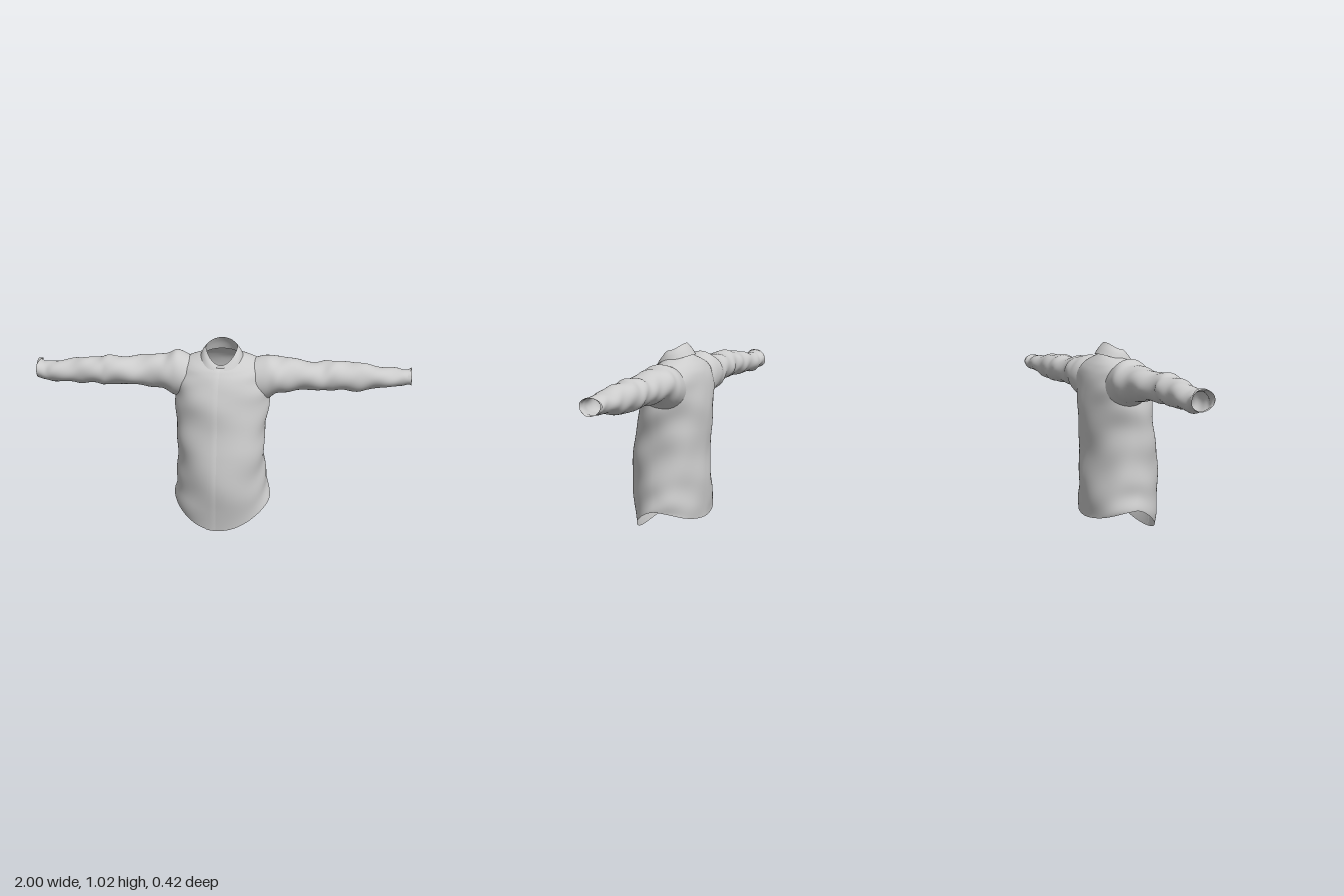
import * as THREE from 'three';

const cloth = new THREE.MeshStandardMaterial({ color: 0xcccccc, roughness: 0.9, side: THREE.DoubleSide });

// Smooth interpolation through rows of numbers, t from 0 to 1
function sample(rows, t) {
  const f = Math.min(Math.max(t, 0), 1) * (rows.length - 1);
  const i = Math.min(Math.floor(f), rows.length - 2);
  const k = f - i;
  const row = (n) => rows[Math.min(Math.max(n, 0), rows.length - 1)];
  return rows[0].map((_, c) => {
    const [a, b, d, e] = [row(i - 1)[c], row(i)[c], row(i + 1)[c], row(i + 2)[c]];
    return b + 0.5 * k * (d - a + k * (2 * a - 5 * b + 4 * d - e + k * (3 * (b - d) + e - a)));
  });
}

// Surface from point(u, v); closed surfaces wrap round in u
function surface(name, point, nu, nv, closed, skip = () => false) {
  const pos = [], index = [];
  const cols = closed ? nu : nu + 1;
  for (let j = 0; j <= nv; j++)
    for (let i = 0; i < cols; i++) pos.push(...point(i / nu, j / nv));
  for (let j = 0; j < nv; j++)
    for (let i = 0; i < nu; i++) {
      const a = j * cols + i, b = j * cols + ((i + 1) % cols);
      const c = a + cols, d = b + cols;
      const mid = [0, 1, 2].map((n) => (pos[a * 3 + n] + pos[d * 3 + n]) / 2);
      if (!skip(mid)) index.push(a, c, b, b, c, d);
    }
  const geo = new THREE.BufferGeometry();
  geo.setAttribute('position', new THREE.Float32BufferAttribute(pos, 3));
  geo.setIndex(index);
  geo.computeVertexNormals();
  const mesh = new THREE.Mesh(geo, cloth);
  mesh.name = name;
  return mesh;
}

// Torso rings: side y, front y, back y, half width, front z, back z, side z
const torsoRings = [
  [0.15, 0.0, 0.09, 0.262, 0.175, -0.198, -0.02],
  [0.22, 0.12, 0.17, 0.25, 0.192, -0.205, -0.01],
  [0.32, 0.27, 0.29, 0.236, 0.208, -0.207, 0],
  [0.45, 0.43, 0.43, 0.235, 0.198, -0.197, 0],
  [0.58, 0.57, 0.57, 0.24, 0.172, -0.202, -0.01],
  [0.7, 0.69, 0.69, 0.25, 0.16, -0.208, -0.03],
  [0.79, 0.78, 0.79, 0.255, 0.135, -0.202, -0.05],
  [0.86, 0.84, 0.86, 0.245, 0.108, -0.185, -0.06],
  [0.905, 0.87, 0.9, 0.2, 0.09, -0.165, -0.06],
  [0.93, 0.885, 0.93, 0.145, 0.075, -0.14, -0.05],
  [0.945, 0.89, 0.955, 0.094, 0.062, -0.113, -0.03],
];

// Collar stand and the folded leaf outside it, same columns
const standRings = [
  [0.935, 0.88, 0.945, 0.097, 0.064, -0.115, -0.03],
  [0.96, 0.89, 0.985, 0.09, 0.06, -0.1, -0.025],
  [0.985, 0.905, 1.018, 0.083, 0.055, -0.08, -0.025],
];
const leafRings = [
  [0.938, 0.868, 0.958, 0.112, 0.088, -0.125, -0.03],
  [0.965, 0.89, 0.99, 0.1, 0.072, -0.104, -0.027],
  [0.985, 0.905, 1.018, 0.083, 0.055, -0.08, -0.025],
];

function ringPoint(rings, a, v, fold = 0) {
  const [ys, yf, yb, hw, zf, zb, zs] = sample(rings, v);
  const c = Math.cos(a), s = Math.sin(a);
  const y = ys + ((s > 0 ? yf : yb) - ys) * Math.abs(s) ** 1.6;
  const z = s > 0 ? zs + (zf - zs) * s : zs - (zs - zb) * (-s) ** 0.88;
  const k = 1 + fold;
  return [hw * c * k, y, zs + (z - zs) * k];
}

// Diagonal cloth folds, stronger on the back and waist, fading at the neck
function torsoPoint(a, v) {
  const fade = 1 - THREE.MathUtils.smoothstep(v, 0.6, 0.85);
  const back = Math.max(0, -Math.sin(a));
  const side = Math.abs(Math.cos(a));
  const fold = 0.014 * Math.sin(3 * a + 13 * v + 1)
    + 0.010 * Math.sin(4 * a - 24 * v)
    + 0.03 * back * side * Math.sin(5 * a + 17 * v)
    + 0.014 * side * Math.sin(43 * v + 2 * a + Math.sin(3 * a));
  return ringPoint(torsoRings, a, v, fold * fade);
}

// Sleeve rings: distance out, top y, bottom y, front z, back z
const leftSleeve = [
  [0.17, 0.915, 0.68, 0.06, -0.165],
  [0.24, 0.93, 0.695, 0.065, -0.17],
  [0.31, 0.922, 0.735, 0.06, -0.163],
  [0.4, 0.908, 0.748, 0.045, -0.15],
  [0.5, 0.898, 0.75, 0.033, -0.146],
  [0.57, 0.903, 0.752, 0.03, -0.15],
  [0.64, 0.903, 0.747, 0.014, -0.146],
  [0.73, 0.895, 0.75, 0.015, -0.138],
  [0.82, 0.882, 0.767, 0.008, -0.132],
  [0.91, 0.874, 0.78, 0, -0.125],
  [0.97, 0.866, 0.787, -0.012, -0.122],
  [1.0, 0.875, 0.785, -0.015, -0.125],
];
const rightSleeve = [
  [0.17, 0.918, 0.68, 0.055, -0.165],
  [0.24, 0.947, 0.7, 0.06, -0.17],
  [0.31, 0.922, 0.728, 0.045, -0.165],
  [0.4, 0.912, 0.75, 0.036, -0.152],
  [0.5, 0.905, 0.757, 0.043, -0.142],
  [0.6, 0.908, 0.758, 0.05, -0.125],
  [0.66, 0.9, 0.757, 0.036, -0.13],
  [0.74, 0.89, 0.755, 0.024, -0.13],
  [0.82, 0.878, 0.757, 0.008, -0.132],
  [0.91, 0.862, 0.752, 0, -0.134],
  [0.96, 0.858, 0.765, -0.012, -0.13],
  [1.0, 0.875, 0.765, -0.015, -0.137],
];

function sleevePoint(rings, side, u, v) {
  const [x, top, bottom, front, back] = sample(rings, v);
  const a = u * Math.PI * 2;
  const fade = THREE.MathUtils.smoothstep(v, 0.05, 0.2);
  const fold = 1 + fade * (0.04 * Math.sin(2 * a + 31 * v) + 0.03 * Math.sin(3 * a - 47 * v + side));
  const ragged = v === 1 ? 0.012 * (Math.sin(2 * a + side) - 1) : 0;
  return [
    side * (x + ragged),
    (top + bottom) / 2 + (top - bottom) / 2 * Math.cos(a) * fold,
    (front + back) / 2 - side * (front - back) / 2 * Math.sin(a) * fold,
  ];
}

export function createModel() {
  const shirt = new THREE.Group();
  shirt.name = 'shirt';

  // Body, with armholes left open inside the sleeves
  const armhole = ([x, y, z]) => Math.abs(x) > 0.19
    && ((y - 0.81) / 0.09) ** 2 + ((z + 0.055) / 0.09) ** 2 < 0.8;
  shirt.add(surface('body', (u, v) => torsoPoint(u * Math.PI * 2, v), 112, 110, true, armhole));

  // Sleeves
  shirt.add(surface('leftSleeve', (u, v) => sleevePoint(leftSleeve, 1, u, v), 40, 90, true));
  shirt.add(surface('rightSleeve', (u, v) => sleevePoint(rightSleeve, -1, u, v), 40, 90, true));

  // Collar stand, and the leaf that opens at the front
  shirt.add(surface('collarStand', (u, v) => ringPoint(standRings, u * Math.PI * 2, v), 56, 8, true));
  const gap = 0.2;
  shirt.add(surface('collarLeaf', (u, v) =>
    ringPoint(leafRings, Math.PI / 2 + gap + u * 2 * (Math.PI - gap), v), 56, 8, false));

  // Button placket lying on the front of the body
  shirt.add(surface('placket', (u, v) => {
    const a = THREE.MathUtils.lerp(1.62, 1.84, u) - 0.06 * v;
    const p = torsoPoint(a, v * 0.97);
    p[2] += 0.005 * Math.sin(Math.PI * Math.min(1, u * 1.6) / 2) - 0.001;
    return p;
  }, 6, 70, false));

  return shirt;
}
